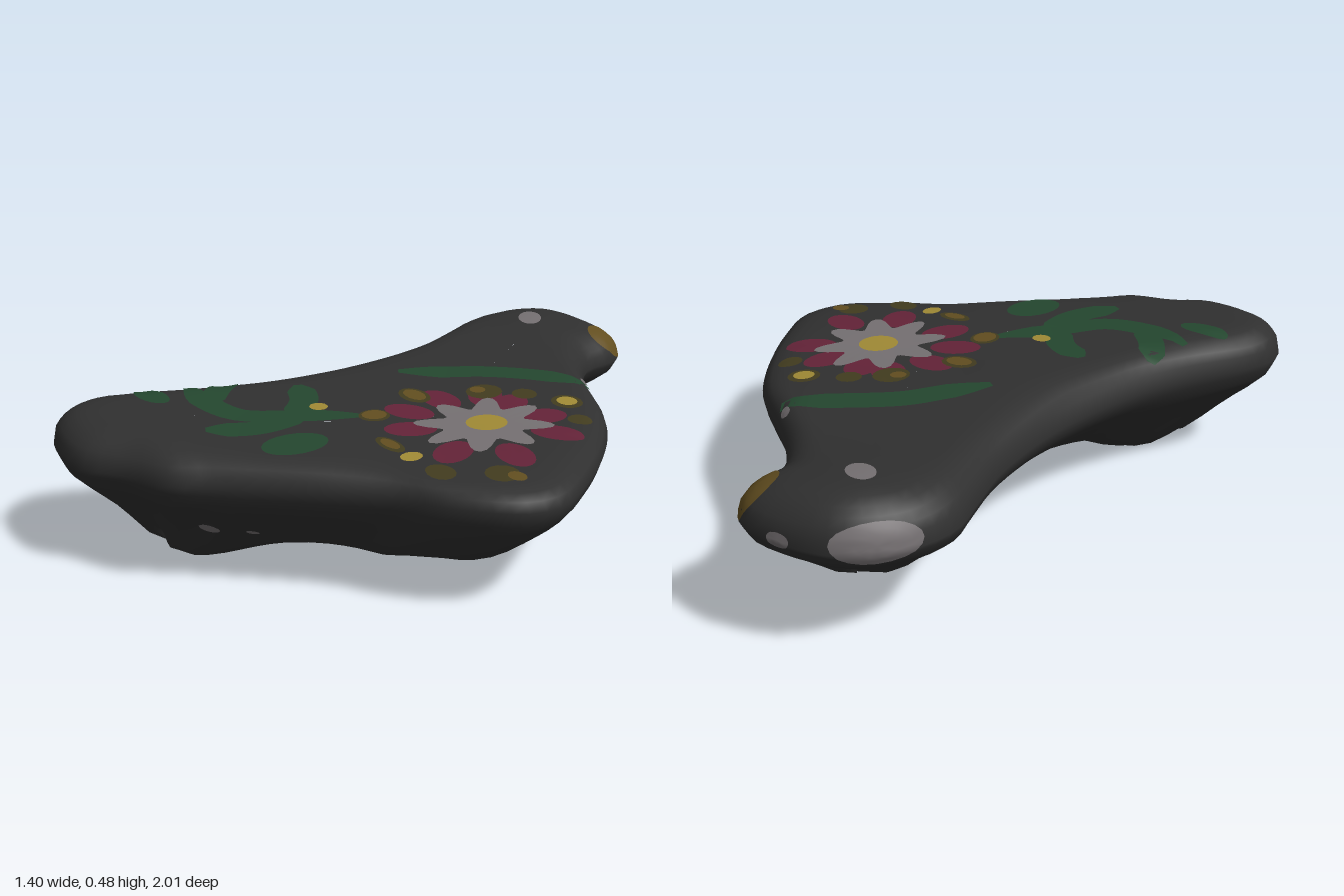
import * as THREE from 'three';

const paint = (name, color) => {
  const m = new THREE.MeshStandardMaterial({ color });
  m.name = name;
  return m;
};

// Plan outline of the stone (x, z), running clockwise from the head
const OUTLINE = [
  [-0.29, -1], [-0.15, -0.99], [-0.09, -0.92], [-0.07, -0.77], [0.03, -0.65], [0.16, -0.56], [0.35, -0.44],
  [0.5, -0.28], [0.62, -0.1], [0.7, 0.07], [0.68, 0.18], [0.53, 0.32], [0.39, 0.4], [0.2, 0.57], [0, 0.77],
  [-0.07, 0.85], [-0.23, 0.92], [-0.38, 1], [-0.63, 0.95], [-0.7, 0.83], [-0.68, 0.72], [-0.58, 0.5],
  [-0.51, 0.29], [-0.47, -0.03], [-0.5, -0.34], [-0.55, -0.5], [-0.6, -0.66], [-0.57, -0.81], [-0.47, -0.94],
];
// Spine towards which the cross-sections shrink (z, x)
const SPINE = [[-0.75, -0.33], [-0.5, -0.2], [0.05, 0.1], [0.35, -0.05], [0.72, -0.38]];

const lerp = THREE.MathUtils.lerp;
const clamp = THREE.MathUtils.clamp;
const bump = (x, z, cx, cz, s) => Math.exp(-((x - cx) ** 2 + (z - cz) ** 2) / (2 * s * s));

function table(rows, t) {
  if (t <= rows[0][0]) return rows[0][1];
  for (let i = 1; i < rows.length; i++) {
    const [a, va] = rows[i - 1], [b, vb] = rows[i];
    if (t <= b) return lerp(va, vb, (t - a) / (b - a));
  }
  return rows[rows.length - 1][1];
}

const topY = (x, z) => 0.43 - 0.045 * x + 0.03 * bump(x, z, -0.4, -0.85, 0.16)
  + 0.004 * Math.sin(9 * x + 4) * Math.cos(8 * z);
const floorY = (x, z) => 0.1 - 0.1 * bump(x, z, -0.32, 0.62, 0.14) - 0.04 * bump(x, z, -0.25, -0.53, 0.12)
  + 0.06 * clamp((-z - 0.58) / 0.17, 0, 1);
const UNDER = [[0, 0], [0.08, 0.22], [0.3, 0.45], [0.65, 0.75], [0.9, 0.95], [1, 1]];

// Stone: rings from the underside spine, out to the rim, and back in over the top
function stoneGeometry() {
  const N = 112, RIM = 0.35;
  const curve = new THREE.CatmullRomCurve3(OUTLINE.map(([x, z]) => new THREE.Vector3(x, 0, z)), true);
  const rim = curve.getSpacedPoints(N).slice(0, N);
  const steps = [0, 0.03, 0.08, 0.15, 0.24, 0.36, 0.5, 0.65, 0.82, 1];
  const rings = [...steps.slice(1).reverse().map((t) => [t, false]), ...steps.map((t) => [t, true])];
  const pos = [], idx = [];
  for (const [t, top] of rings) {
    for (const p of rim) {
      const tz = clamp(p.z, -0.75, 0.72), tx = table(SPINE, tz);
      const x = lerp(p.x, tx, t), z = lerp(p.z, tz, t);
      const d = t * Math.hypot(p.x - tx, p.z - tz);
      const u = Math.min(1, d / 0.12);
      const y = top ? lerp(RIM, topY(x, z), Math.sqrt(1 - (1 - u) ** 2))
        : lerp(RIM, floorY(x, z), table(UNDER, d / 0.27));
      pos.push(x, y, z);
    }
  }
  for (let i = 0; i < rings.length - 1; i++) {
    for (let j = 0; j < N; j++) {
      const k = (j + 1) % N;
      const a = i * N + j, b = a + N, c = i * N + k, d = c + N;
      idx.push(a, b, c, b, d, c);
    }
  }
  return build(pos, idx);
}

function build(pos, idx) {
  const g = new THREE.BufferGeometry();
  g.setAttribute('position', new THREE.Float32BufferAttribute(pos, 3));
  g.setIndex(idx);
  g.computeVertexNormals();
  return g;
}

export function createModel() {
  const group = new THREE.Group();
  const charcoal = paint('charcoal', 0x303030);
  const green = paint('leafGreen', 0x24472f);
  const red = paint('petalRed', 0x642338);
  const grey = paint('paleGrey', 0x757072);
  const yellow = paint('yellow', 0xa08a35);
  const ochre = paint('ochre', 0x624e20);
  const olive = paint('olive', 0x423c1f);

  const add = (name, geometry, material) => {
    const m = new THREE.Mesh(geometry, material);
    m.name = name;
    group.add(m);
    return m;
  };
  const stone = add('stone', stoneGeometry(), charcoal);
  stone.updateMatrixWorld();

  // Drops a point on the stone along -n, lifted slightly off the surface
  const ray = new THREE.Raycaster();
  const UP = new THREE.Vector3(0, 1, 0);
  const drape = (p, n, lift) => {
    ray.set(p.clone().addScaledVector(n, 2), n.clone().negate());
    const hit = ray.intersectObject(stone)[0];
    return hit && hit.point.addScaledVector(hit.face.normal, lift);
  };

  // Rounded painted spot; radius may vary with angle
  function spot(name, mat, c, ru, rv, { turn = 0, n = UP, lift = 0.004, shape = () => 1, seg = 20, rings = 2 } = {}) {
    const u = n === UP ? new THREE.Vector3(1, 0, 0) : new THREE.Vector3().crossVectors(UP, n).normalize();
    const v = n === UP ? new THREE.Vector3(0, 0, 1) : new THREE.Vector3(0, -1, 0);
    const centre = new THREE.Vector3(...c);
    const pos = drape(centre, n, lift).toArray(), idx = [];
    for (let r = 1; r <= rings; r++) {
      for (let k = 0; k < seg; k++) {
        const a = (k / seg) * Math.PI * 2, s = shape(a) * r / rings;
        const e = Math.cos(a) * ru * s, f = Math.sin(a) * rv * s;
        const off = u.clone().multiplyScalar(e * Math.cos(turn) - f * Math.sin(turn))
          .addScaledVector(v, e * Math.sin(turn) + f * Math.cos(turn));
        let q;
        for (let m = 1; !q && m > 0; m -= 0.08) q = drape(centre.clone().addScaledVector(off, m), n, lift);
        pos.push(...(q ? q.toArray() : pos.slice(0, 3)));
        const o = 1 + (r - 1) * seg, k2 = (k + 1) % seg;
        if (r === 1) idx.push(0, o + k2, o + k);
        else idx.push(o - seg + k, o - seg + k2, o + k, o - seg + k2, o + k2, o + k);
      }
    }
    add(name, build(pos, idx), mat);
  }

  // Painted stroke along a path, rounded at both ends
  function stroke(name, mat, path, width) {
    const curve = new THREE.CatmullRomCurve3(path.map(([x, z]) => new THREE.Vector3(x, 0, z)));
    const n = 20, pos = [], idx = [];
    for (let i = 0; i <= n; i++) {
      const p = curve.getPointAt(i / n), t = curve.getTangentAt(i / n);
      const w = 0.5 * width * Math.max(0.3, Math.min(1, Math.sqrt(5 * Math.min(i, n - i) / n)));
      for (const s of [-1, 1]) {
        pos.push(...drape(new THREE.Vector3(p.x - s * t.z * w, 0, p.z + s * t.x * w), UP, 0.004).toArray());
      }
      const a = 2 * i;
      if (i < n) idx.push(a, a + 1, a + 2, a + 1, a + 3, a + 2);
    }
    add(name, build(pos, idx), mat);
  }

  // Flower: red outer petals, pale star and yellow heart
  const fx = 0.24, fz = -0.03;
  const petals = [[0.29, -0.22], [0.41, -0.17], [0.46, 0.04], [0.34, 0.17], [0.14, 0.17], [0.03, 0.09],
    [0.01, -0.05], [0.07, -0.18], [0.16, -0.2]];
  for (const [x, z] of petals) {
    spot('redPetal', red, [x, 0, z], 0.08, 0.054, { turn: Math.atan2(z - fz, x - fx) });
  }
  spot('paleStar', grey, [fx, 0, fz], 0.17, 0.19,
    { lift: 0.007, seg: 72, rings: 3, shape: (a) => 0.93 + 0.24 * Math.cos(8 * a + 0.6) });
  spot('flowerHeart', yellow, [fx, 0, fz - 0.01], 0.06, 0.065, { lift: 0.0095 });

  // Dots around the flower
  const dots = [
    [olive, 0.25, -0.36, 0.05, 0.05], [olive, 0.37, -0.3, 0.035, 0.04], [olive, 0.13, -0.29, 0.04, 0.04],
    [olive, 0.04, -0.2, 0.055, 0.06], [olive, -0.06, 0, 0.06, 0.045], [olive, 0, 0.2, 0.045, 0.05],
    [olive, 0.53, 0.15, 0.05, 0.05], [olive, 0.42, 0.28, 0.05, 0.04], [olive, 0.2, 0.29, 0.06, 0.03],
    [ochre, 0.02, -0.19, 0.025, 0.025], [ochre, -0.06, 0, 0.045, 0.03], [ochre, 0, 0.2, 0.035, 0.04],
    [ochre, 0.2, 0.29, 0.04, 0.02], [ochre, 0.57, 0.13, 0.03, 0.025],
    [yellow, 0.25, -0.36, 0.033, 0.033], [yellow, -0.15, 0.3, 0.03, 0.028], [yellow, 0.3, 0.29, 0.028, 0.035],
  ];
  for (const [mat, x, z, rx, rz] of dots) {
    spot('flowerDot', mat, [x, 0, z], rx, rz, { lift: mat === olive ? 0.005 : 0.0075, seg: 14 });
  }

  // Green leaves and branches
  stroke('wingStroke', green, [[0.17, -0.53], [0.04, -0.44], [-0.1, -0.31], [-0.17, -0.2], [-0.25, -0.08]], 0.1);
  stroke('branch', green, [[-0.02, 0.23], [-0.13, 0.38], [-0.24, 0.53], [-0.4, 0.56], [-0.53, 0.54]], 0.09);
  stroke('branch', green, [[-0.34, 0.25], [-0.23, 0.3], [-0.14, 0.4]], 0.09);
  stroke('branch', green, [[-0.5, 0.39], [-0.45, 0.47], [-0.36, 0.56]], 0.08);
  stroke('branch', green, [[-0.13, 0.36], [-0.12, 0.53], [-0.19, 0.67]], 0.1);
  spot('leaf', green, [0.04, 0, 0.51], 0.07, 0.1, { turn: 0.2 });
  spot('leaf', green, [-0.52, 0, 0.67], 0.08, 0.04, { turn: -0.1 });

  // Head markings: beak and pale patches
  spot('beak', ochre, [-0.15, 0, -0.92], 0.055, 0.07, { turn: -0.3, rings: 4 });
  spot('headSpot', grey, [-0.36, 0, -0.755], 0.056, 0.04, { turn: 0.6 });
  spot('cheekPatch', grey, [-0.53, 0.375, -0.88], 0.12, 0.055,
    { n: new THREE.Vector3(-0.75, 0, -0.66).normalize(), rings: 4 });
  spot('cheekFleck', grey, [-0.3, 0.36, -0.98], 0.035, 0.02, { n: new THREE.Vector3(0, 0, -1) });
  spot('backFleck', grey, [0.13, 0, -0.55], 0.025, 0.012, { turn: 0.6 });

  // Small flecks on the front side
  const front = new THREE.Vector3(0, 0, 1);
  spot('sideFleck', grey, [-0.1, 0.18, 0.8], 0.022, 0.017, { n: front, seg: 12 });
  spot('sideFleck', grey, [-0.02, 0.168, 0.7], 0.012, 0.008, { n: front, seg: 12 });

  // Rest the stone on the ground
  stone.geometry.computeBoundingBox();
  const lowest = stone.geometry.boundingBox.min.y;
  for (const m of group.children) m.geometry.translate(0, -lowest, 0);
  return group;
}
